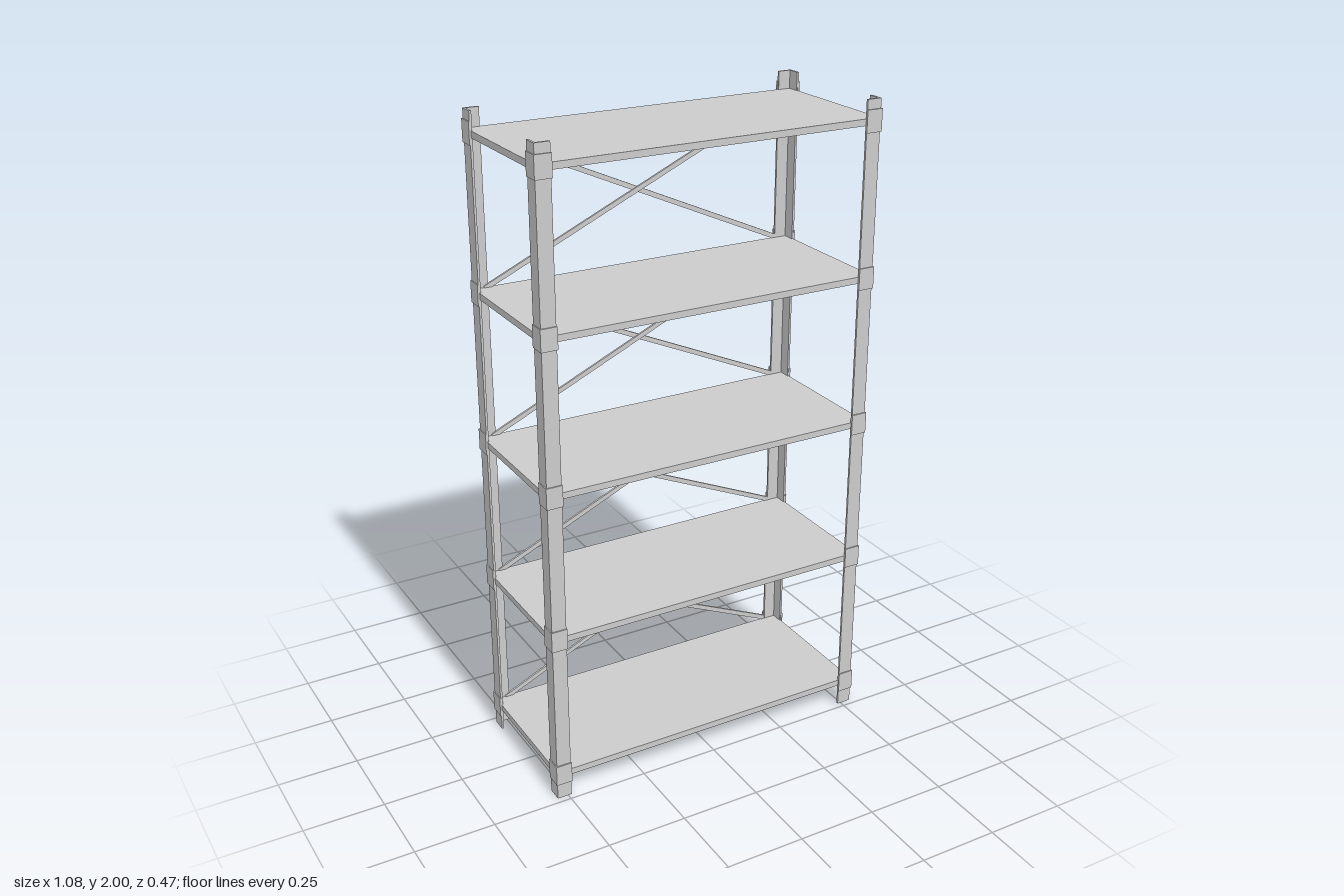
import * as THREE from 'three';

const material = new THREE.MeshStandardMaterial({ color: 0xcccccc, flatShading: true });
const SHELF_Y = [0.08, 0.545, 1.005, 1.47, 1.935]; // shelf centre heights

function add(parent, geometry, name, x = 0, y = 0, z = 0) {
  const mesh = new THREE.Mesh(geometry, material);
  mesh.name = name;
  mesh.position.set(x, y, z);
  parent.add(mesh);
  return mesh;
}

// Upright L-section with its outer corner at (sx * x, sz * z), arms pointing inward
function angleBar(x, z, arm, t, height, sx, sz) {
  const points = [[0, 0], [arm, 0], [arm, t], [t, t], [t, arm], [0, arm]]
    .map(([a, b]) => new THREE.Vector2(sx * (x - a), -sz * (z - b)));
  const geometry = new THREE.ExtrudeGeometry(new THREE.Shape(points), { depth: height, bevelEnabled: false });
  return geometry.rotateX(-Math.PI / 2);
}

export function createModel() {
  const model = new THREE.Group();
  model.name = 'shelvingUnit';

  // Shelf boards
  SHELF_Y.forEach((y) => add(model, new THREE.BoxGeometry(1.064, 0.02, 0.456), 'shelf', 0, y, 0));

  // Corner posts with a clip around each shelf joint
  for (const sx of [-1, 1]) {
    for (const sz of [-1, 1]) {
      const corner = new THREE.Group();
      corner.name = (sz > 0 ? 'front' : 'back') + (sx > 0 ? 'Left' : 'Right') + 'Corner';
      add(corner, angleBar(0.535, 0.231, 0.046, 0.007, 2, sx, sz), 'post');
      SHELF_Y.forEach((y) =>
        add(corner, angleBar(0.538, 0.235, 0.051, 0.006, 0.066, sx, sz), 'jointClip', 0, y - 0.03, 0));
      model.add(corner);
    }
  }

  // Crossed braces on the back of every bay
  for (let i = 0; i < SHELF_Y.length - 1; i++) {
    const low = SHELF_Y[i] + 0.008;
    const high = SHELF_Y[i + 1] - 0.008;
    const width = 1.0;
    const length = Math.hypot(width, high - low);
    for (const s of [-1, 1]) {
      const brace = add(model, new THREE.BoxGeometry(length, 0.015, 0.007),
        'backBrace', 0, (low + high) / 2, -0.226 + s * 0.002);
      brace.rotation.z = s * Math.atan2(high - low, width);
    }
  }
  return model;
}
